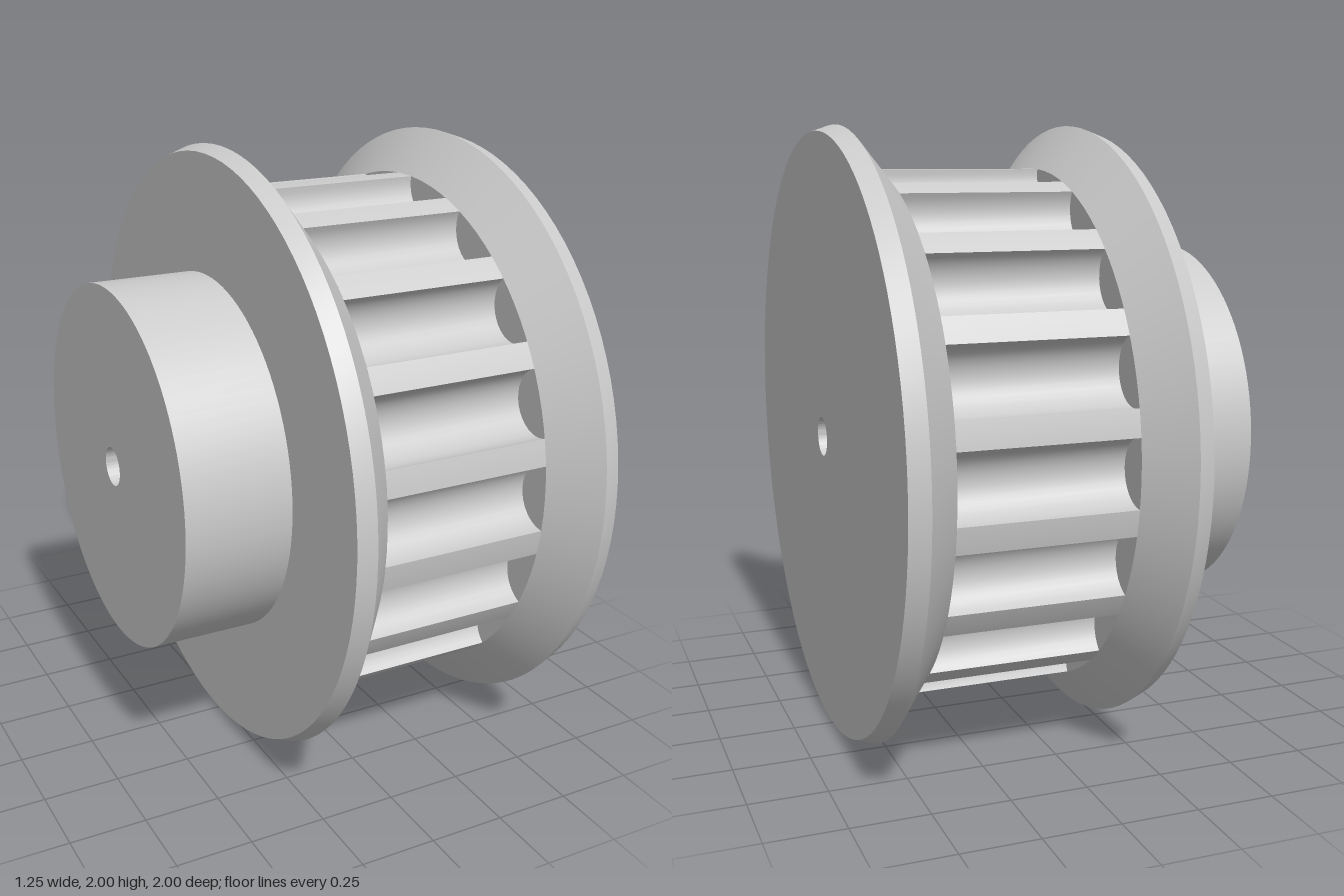
import * as THREE from 'three';
import { toCreasedNormals } from 'three/addons/utils/BufferGeometryUtils.js';

const TEETH = 18;
const RIM = 0.86, BORE = 0.064, GROOVE = 0.107;
const GROOVE_CENTRE = Math.sqrt(RIM * RIM - GROOVE * GROOVE);
const material = new THREE.MeshStandardMaterial({ color: 0xcccccc });

function addMesh(group, name, geometry) {
  const mesh = new THREE.Mesh(toCreasedNormals(geometry, 0.5), material);
  mesh.name = name;
  group.add(mesh);
}

// Solid of revolution about the x axis; the profile is a list of [radius, x]
function turned(profile) {
  const points = profile.map(([r, x]) => new THREE.Vector2(r, x));
  return new THREE.LatheGeometry(points, 96).rotateZ(-Math.PI / 2);
}

// Ring of flat lands separated by round-bottomed grooves, walls only
function toothedRim(x0, x1) {
  const shape = new THREE.Shape();
  const step = (Math.PI * 2) / TEETH;
  const half = Math.asin(GROOVE / RIM);
  for (let i = 0; i < TEETH; i++) {
    const a = i * step;
    shape.absarc(GROOVE_CENTRE * Math.cos(a), GROOVE_CENTRE * Math.sin(a), GROOVE,
      a - Math.PI / 2, a + Math.PI / 2, true);
    shape.absarc(0, 0, RIM, a + half, a + step - half, false);
  }
  const solid = new THREE.ExtrudeGeometry(shape, { depth: x1 - x0, bevelEnabled: false, curveSegments: 8 });
  // The end caps are hidden by the flanges, so keep only the side walls
  const walls = new THREE.BufferGeometry();
  const positions = solid.attributes.position.array.slice(solid.groups[1].start * 3);
  walls.setAttribute('position', new THREE.BufferAttribute(positions, 3));
  return walls.rotateY(Math.PI / 2).translate(x0, 0, 0);
}

export function createModel() {
  const group = new THREE.Group();
  group.name = 'timingPulley';
  const pulley = new THREE.Group();
  pulley.name = 'pulleyBody';
  pulley.position.y = 1;
  group.add(pulley);

  const root = GROOVE_CENTRE - GROOVE;

  // Hub boss on the -x side
  addMesh(pulley, 'hub', turned([[BORE, -0.627], [0.595, -0.627], [0.595, -0.28]]));

  // Flanges with bevelled rims and sloping inner faces
  addMesh(pulley, 'hubFlange', turned([
    [0.595, -0.28], [0.98, -0.28], [1, -0.225], [RIM, -0.11], [root, -0.11]]));
  addMesh(pulley, 'outerFlange', turned([
    [root, 0.45], [RIM, 0.45], [1, 0.567], [0.98, 0.627], [BORE, 0.627]]));

  // Toothed belt surface between the flanges
  addMesh(pulley, 'toothedRim', toothedRim(-0.11, 0.45));

  // Shaft hole through the whole body
  addMesh(pulley, 'shaftBore', turned([[BORE, 0.627], [BORE, -0.627]]));

  return group;
}
